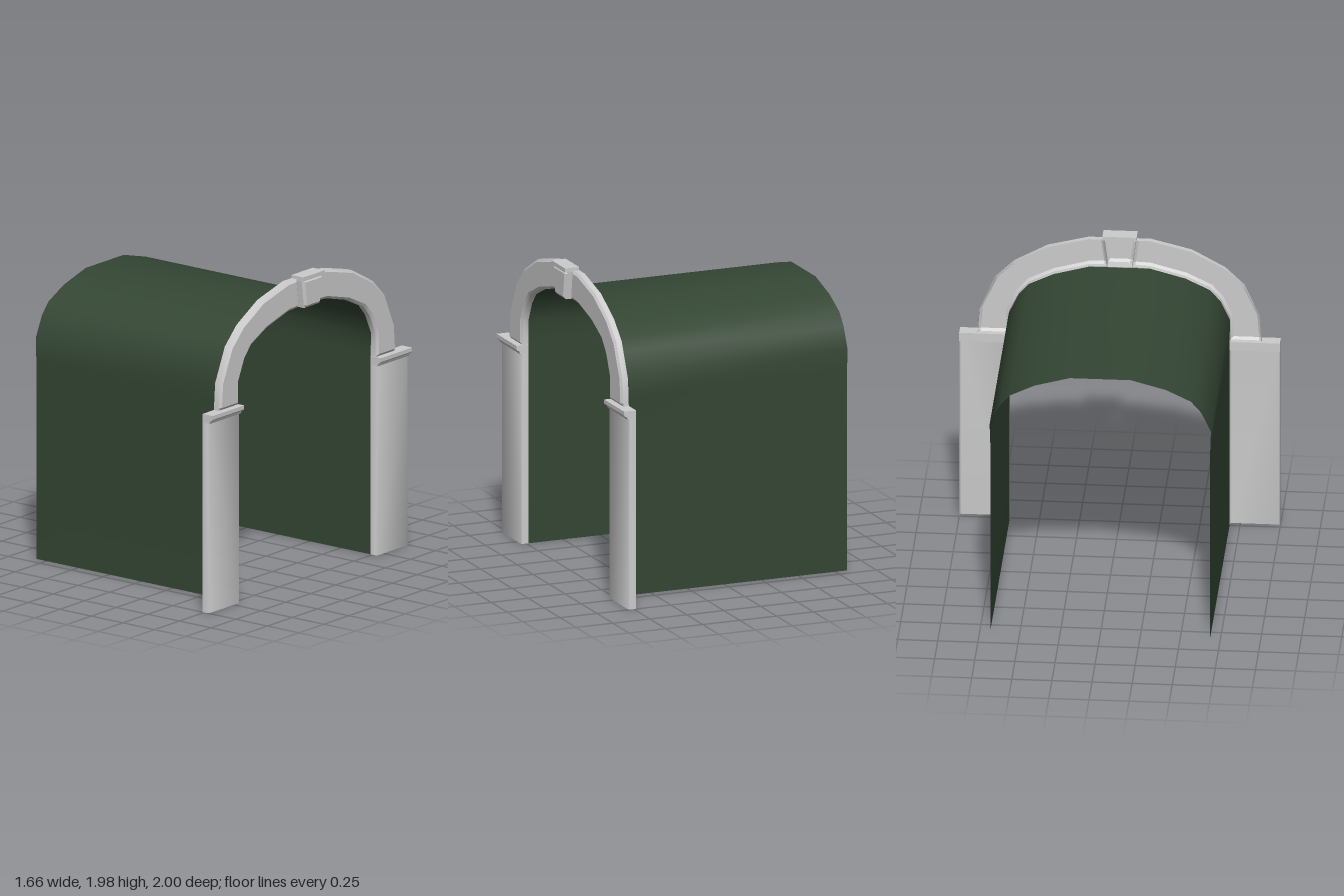
import * as THREE from 'three';
import { toCreasedNormals } from 'three/addons/utils/BufferGeometryUtils.js';

const BACK = 0.735, FACE = 0.785, EDGE = 0.772;

// Joins equal-length cross-sections (arrays of [x, y, z]) into an open skin, optionally capped.
function loft(sections, crease, capped = false) {
  const n = sections[0].length, index = [], last = (sections.length - 1) * n;
  for (let i = 0; i < sections.length - 1; i++) {
    for (let j = 0; j < n - 1; j++) {
      const a = i * n + j, b = a + 1, c = a + n, d = c + 1;
      index.push(a, b, c, b, d, c);
    }
  }
  if (capped) {
    for (let k = 1; k < n - 1; k++) index.push(0, k + 1, k, last, last + k, last + k + 1);
  }
  const g = new THREE.BufferGeometry();
  g.setAttribute('position', new THREE.Float32BufferAttribute(sections.flat(2), 3));
  g.setIndex(index);
  g.computeVertexNormals();
  return toCreasedNormals(g, crease);
}

// Section across a moulding from point a to point b ([z, y]), with chamfered front edges.
function mouldingSection(a, b, edge, face, inset) {
  const t = inset / Math.hypot(a[0] - b[0], a[1] - b[1]);
  const at = (x, s) => [x, a[1] + (b[1] - a[1]) * s, a[0] + (b[0] - a[0]) * s];
  return [at(BACK, 0), at(edge, 0), at(face, t), at(face, 1 - t), at(edge, 1), at(BACK, 1)];
}

// Sweeps the moulding along two matching edge lines, chamfering both ends as well.
function moulding(outer, inner, edge, face, inset) {
  const mix = (p, q) => {
    const s = inset / Math.hypot(q[0] - p[0], q[1] - p[1]);
    return [p[0] + (q[0] - p[0]) * s, p[1] + (q[1] - p[1]) * s];
  };
  const e = outer.length - 1, sections = [];
  const add = (a, b, f) => sections.push(mouldingSection(a, b, edge, f, inset));
  add(outer[0], inner[0], edge);
  add(mix(outer[0], outer[1]), mix(inner[0], inner[1]), face);
  for (let i = 1; i < e; i++) add(outer[i], inner[i], face);
  add(mix(outer[e], outer[e - 1]), mix(inner[e], inner[e - 1]), face);
  add(outer[e], inner[e], edge);
  return loft(sections, 0.5, true);
}

export function createModel() {
  const model = new THREE.Group();
  const stone = new THREE.MeshStandardMaterial({ color: 0xcccccc, side: THREE.DoubleSide });
  const green = new THREE.MeshStandardMaterial({ color: 0x344634, side: THREE.DoubleSide });
  const add = (parent, name, geometry, material = stone) => {
    const mesh = new THREE.Mesh(geometry, material);
    mesh.name = name;
    parent.add(mesh);
    return mesh;
  };

  // Arch edges as [z, y], from springing to keystone
  const inner = [[0.69, 1.28], [0.69, 1.43], [0.63, 1.56], [0.565, 1.635], [0.41, 1.71], [0.19, 1.77], [0.08, 1.775]];
  const outer = [[0.885, 1.28], [0.873, 1.45], [0.776, 1.665], [0.658, 1.78], [0.45, 1.895], [0.193, 1.96], [0.105, 1.96]];

  // Tunnel lining: thin vaulted sheet open at both ends and below
  const half = [[0.685, 0], [0.685, 1.28], ...inner.slice(1, -1)];
  const vault = [...half, ...half.map(([z, y]) => [-z, y]).reverse()];
  add(model, 'tunnelLining', loft([BACK, -0.83].map(x => vault.map(([z, y]) => [x, y, z])), 0.7), green);

  // Each side: pillar shell, impost moulding and half of the arch
  for (const side of [1, -1]) {
    const group = new THREE.Group();
    group.name = side > 0 ? 'frontSide' : 'backSide';
    group.scale.z = side;
    model.add(group);

    const c = 0.01;
    const plan = [[BACK, 1], [FACE - c, 1], [FACE, 1 - c], [FACE, 0.685 + c], [FACE - c, 0.685], [BACK, 0.685]];
    add(group, 'pillar', loft([0, 1.23].map(y => plan.map(([x, z]) => [x, y, z])), 0.9));

    const profile = new THREE.Shape([
      [BACK, 1.223], [0.79, 1.223], [0.8, 1.245], [0.81, 1.247], [0.816, 1.255], [0.816, 1.28], [BACK, 1.28],
    ].map(p => new THREE.Vector2(...p)));
    const impost = new THREE.ExtrudeGeometry(profile, { depth: 0.315, bevelEnabled: false });
    add(group, 'impost', impost).position.z = 0.685;

    add(group, 'archHalf', moulding(outer, inner, EDGE, FACE, 0.017));
  }

  // Keystone: tapered chamfered block with a flat cap
  const keystone = new THREE.Group();
  keystone.name = 'keystone';
  model.add(keystone);
  add(keystone, 'keystoneBlock', moulding(
    [[0.077, 1.772], [0.102, 1.957]], [[-0.077, 1.772], [-0.102, 1.957]], 0.81, 0.825, 0.017));
  add(keystone, 'keystoneCap', new THREE.BoxGeometry(0.095, 0.027, 0.214)).position.set(0.7825, 1.9665, 0);

  return model;
}
